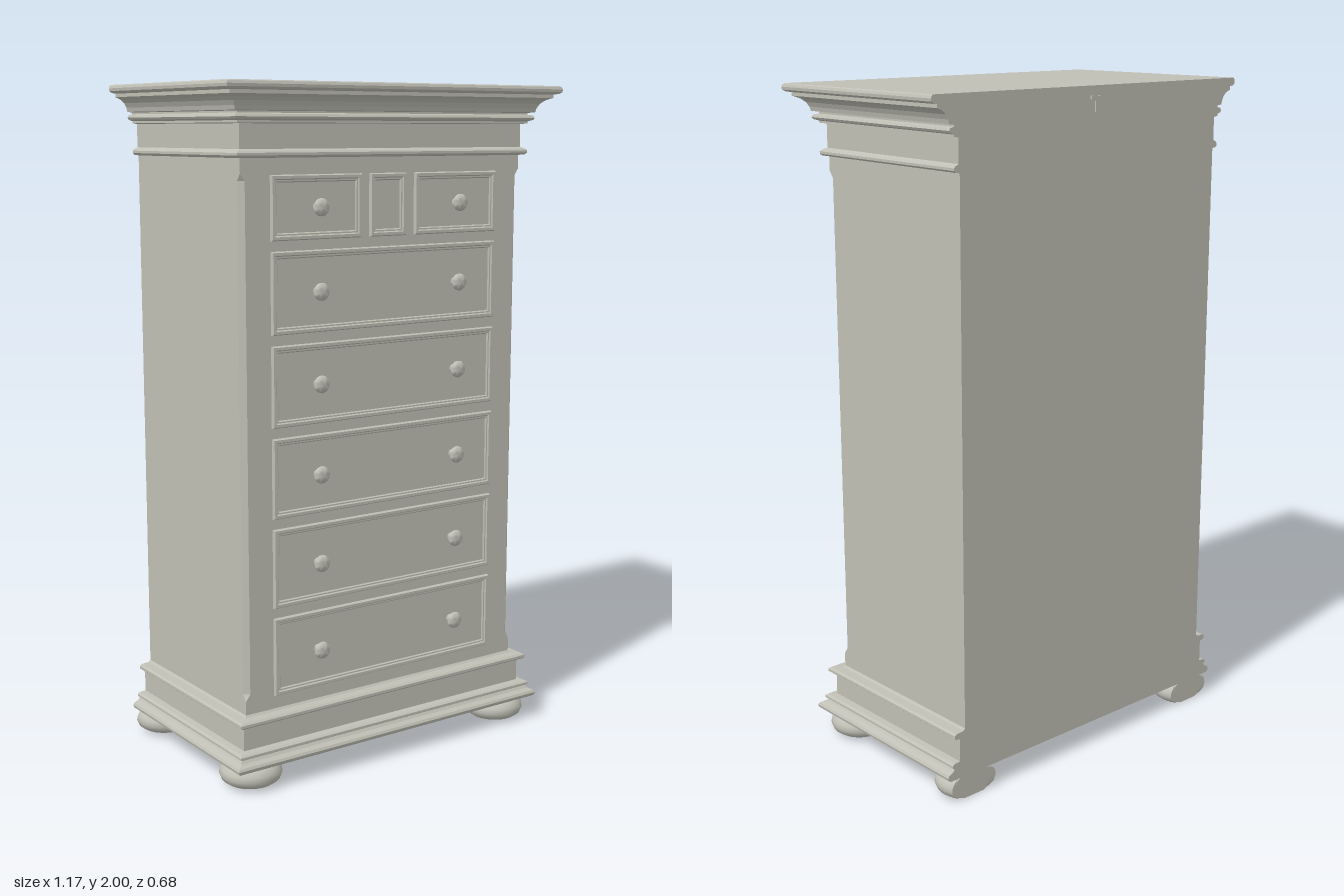
import * as THREE from 'three';
import { toCreasedNormals } from 'three/addons/utils/BufferGeometryUtils.js';

const BACK = -0.333;

// Skin a list of counter-clockwise rings; both ends are capped.
function loft(rings) {
  const pos = [];
  const tri = (...pts) => pts.forEach((p) => pos.push(...p));
  const n = rings[0].length;
  for (let r = 0; r < rings.length - 1; r++) {
    for (let i = 0; i < n; i++) {
      const j = (i + 1) % n;
      const [a, b, c, d] = [rings[r][i], rings[r][j], rings[r + 1][j], rings[r + 1][i]];
      tri(a, b, c);
      tri(a, c, d);
    }
  }
  const first = rings[0], last = rings[rings.length - 1];
  for (let i = 1; i < n - 1; i++) {
    tri(first[0], first[i + 1], first[i]);
    tri(last[0], last[i], last[i + 1]);
  }
  const g = new THREE.BufferGeometry();
  g.setAttribute('position', new THREE.Float32BufferAttribute(pos, 3));
  g.computeVertexNormals();
  return g;
}

// Horizontal case section: o = moulding projection, c = front corner chamfer
function section([o, y, c = 0, back = BACK]) {
  const x = 0.495 + o, z = 0.245 + o;
  return [[x, y, z - c], [x, y, back], [-x, y, back], [-x, y, z - c], [-x + c, y, z], [x - c, y, z]];
}

// Drawer front: moulded border around a sunken field
function drawerFront(x0, x1, y0, y1) {
  const steps = [[0, 0.24], [0, 0.25], [0.003, 0.255], [0.011, 0.255], [0.014, 0.251], [0.018, 0.251], [0.021, 0.247]];
  return loft(steps.map(([s, z]) => [
    [x0 + s, y0 + s, z], [x1 - s, y0 + s, z], [x1 - s, y1 - s, z], [x0 + s, y1 - s, z],
  ]));
}

const lathe = (pts, segments) =>
  new THREE.LatheGeometry(pts.map(([r, y]) => new THREE.Vector2(r, y)), segments);

export function createModel() {
  const model = new THREE.Group();
  const paint = new THREE.MeshStandardMaterial({ color: 0xbfbfb5 });
  paint.name = 'greyPaint';
  const add = (name, geometry, x = 0, y = 0, z = 0) => {
    const mesh = new THREE.Mesh(geometry, paint);
    mesh.name = name;
    mesh.position.set(x, y, z);
    model.add(mesh);
    return mesh;
  };

  // Case with hollow underside, plinth, stopped chamfers and cornice
  const profile = [
    [0, 0.19, 0, -0.32], [0, 0.07, 0, -0.32],
    [0.055, 0.07], [0.062, 0.075], [0.064, 0.083], [0.06, 0.09], [0.046, 0.097], [0.04, 0.105],
    [0.047, 0.109], [0.047, 0.116], [0.04, 0.121], [0.02, 0.123], [0.02, 0.193],
    [0.032, 0.194], [0.038, 0.199], [0.038, 0.207], [0.032, 0.212], [0.006, 0.214], [0, 0.22],
    [0, 0.26], [0, 0.28, 0.015], [0, 1.735, 0.015], [0, 1.755],
    [0, 1.796], [0.014, 1.798], [0.019, 1.803], [0.019, 1.81], [0.014, 1.815], [0.003, 1.82],
    [0.003, 1.888], [0.018, 1.89], [0.018, 1.896], [0.03, 1.9], [0.034, 1.906], [0.03, 1.913], [0.018, 1.916],
    [0.018, 1.921], [0.034, 1.923], [0.037, 1.935], [0.044, 1.948], [0.054, 1.957], [0.066, 1.963],
    [0.072, 1.965], [0.072, 1.975], [0.084, 1.977], [0.091, 1.982], [0.092, 1.99], [0.089, 1.997], [0.085, 2],
  ];
  add('case', loft(profile.map(section)));

  // Drawers and knobs
  const knob = lathe([[0, 0], [0.012, 0], [0.01, 0.014], [0.019, 0.018], [0.025, 0.024], [0.025, 0.029],
    [0.021, 0.035], [0.012, 0.039], [0, 0.041]], 24);
  knob.rotateX(Math.PI / 2);
  const knobShape = toCreasedNormals(knob, 0.9);
  const addKnobs = (y) => [-0.248, 0.248].forEach((x) => add('knob', knobShape, x, y, 0.246));

  for (let i = 0; i < 5; i++) {
    const y = 0.375 + i * 0.2625;
    add('wideDrawer', drawerFront(-0.4, 0.4, y - 0.116, y + 0.116));
    addKnobs(y);
  }
  add('smallDrawerRight', drawerFront(-0.4, -0.095, 1.57, 1.75));
  add('centrePanel', drawerFront(-0.065, 0.063, 1.57, 1.75));
  add('smallDrawerLeft', drawerFront(0.095, 0.4, 1.57, 1.75));
  addKnobs(1.66);

  // Bun feet, the back pair cut flush with the back, and blocks above them
  const bun = [[0, 0.003], [0.05, 0.003], [0.072, 0.008], [0.086, 0.018], [0.0925, 0.034], [0.09, 0.048],
    [0.08, 0.061], [0.064, 0.07], [0, 0.07]];
  bun[0][1] = bun[1][1] = 0;
  for (const x of [-0.4625, 0.4625]) {
    for (const z of [0.215, -0.298]) {
      const g = lathe(bun, 40);
      const p = g.attributes.position;
      for (let i = 0; i < p.count; i++) p.setZ(i, Math.max(p.getZ(i), BACK - z));
      add('bunFoot', toCreasedNormals(g, 0.7), x, 0, z);
      add('footBlock', new THREE.BoxGeometry(0.08, 0.13, 0.08), x, 0.128, z > 0 ? z : -0.285);
    }
  }

  // Small hanging bracket on the back
  add('bracketPlate', new THREE.BoxGeometry(0.044, 0.009, 0.006), 0, 1.968, BACK - 0.002);
  add('bracketStem', new THREE.BoxGeometry(0.01, 0.03, 0.006), 0, 1.942, BACK - 0.002);

  return model;
}
